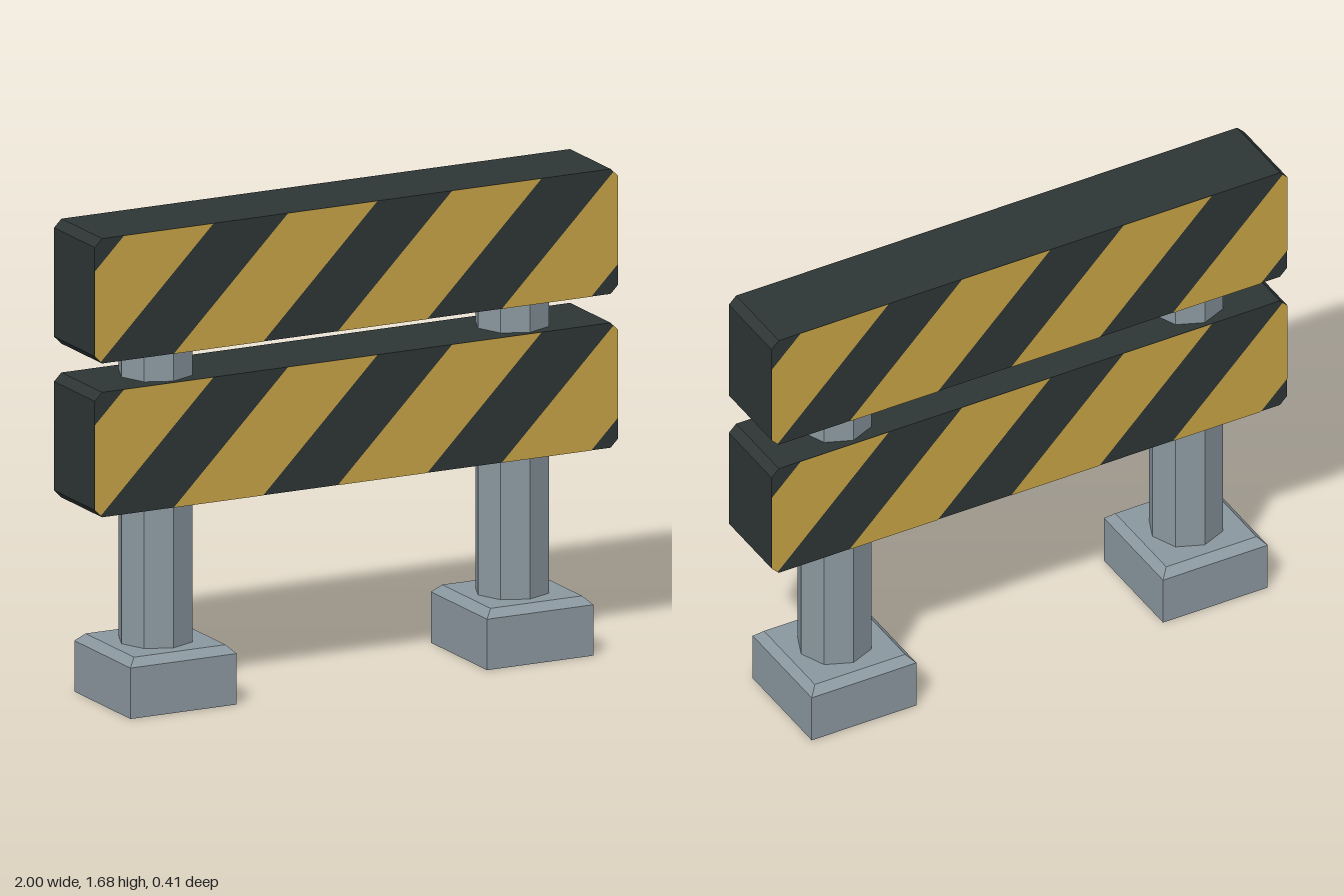
import * as THREE from 'three';

const W = 1, H = 0.437, D = 0.147, C = 0.028; // board half width, height, half depth, corner cut
const PERIOD = 0.627, FIRST = -0.889, STRIPE = 0.342;

// Board outline with cut corners, y from 0 to H
const outline = [
  [-W + C, 0], [W - C, 0], [W, C], [W, H - C],
  [W - C, H], [-W + C, H], [-W, H - C], [-W, C],
].map(([x, y]) => new THREE.Vector2(x, y));

// Keep the part of a polygon where side(p) >= 0
function clip(points, side) {
  const out = [];
  points.forEach((a, i) => {
    const b = points[(i + 1) % points.length];
    const da = side(a), db = side(b);
    if (da >= 0) out.push(a);
    if (da * db < 0) out.push(a.clone().lerp(b, da / (da - db)));
  });
  return out;
}

export function createModel() {
  const make = (name, color) => {
    const m = new THREE.MeshStandardMaterial({ color });
    m.name = name;
    return m;
  };
  const yellow = make('stripe yellow', 0xc8a446);
  const dark = make('board charcoal', 0x2e3635);
  const grey = make('post grey', 0x8b98a0);

  const model = new THREE.Group();
  model.name = 'roadBarrier';
  const add = (parent, name, geometry, material, x = 0, y = 0, z = 0) => {
    const mesh = new THREE.Mesh(geometry, material);
    mesh.name = name;
    mesh.position.set(x, y, z);
    parent.add(mesh);
    return mesh;
  };

  // Boards: dark core with diagonal stripes on both faces
  const core = new THREE.ExtrudeGeometry(new THREE.Shape(outline), { depth: 2 * D, bevelEnabled: false });
  core.translate(0, 0, -D);
  const stripes = [];
  for (let k = 0; k < 4; k++) {
    const start = FIRST + k * PERIOD;
    const along = (p) => p.x - p.y + H;
    let poly = clip(outline, (p) => along(p) - start);
    poly = clip(poly, (p) => start + STRIPE - along(p));
    stripes.push(new THREE.ShapeGeometry(new THREE.Shape(poly)));
  }
  for (const [name, y] of [['lowerBoard', 0.702], ['upperBoard', 1.24]]) {
    const board = new THREE.Group();
    board.name = name;
    board.position.y = y;
    model.add(board);
    add(board, 'boardCore', core, dark);
    for (const s of [1, -1]) {
      for (const stripe of stripes) {
        const mesh = add(board, s > 0 ? 'frontStripe' : 'backStripe', stripe, yellow, 0, 0, s * (D + 0.002));
        if (s < 0) mesh.rotation.y = Math.PI;
      }
    }
  }

  // Legs: octagonal post on a square foot with a sloped rim
  const R = 0.203, RIM = 0.028, FOOT = 0.178;
  const foot = new THREE.BoxGeometry(2 * R, FOOT, 2 * R);
  const rim = new THREE.CylinderGeometry((R - RIM) * Math.SQRT2, R * Math.SQRT2, RIM, 4, 1, false, Math.PI / 4).toNonIndexed();
  rim.computeVertexNormals();
  const post = new THREE.CylinderGeometry(0.13, 0.13, 1.2, 8).toNonIndexed();
  post.computeVertexNormals();
  for (const [name, x] of [['rightLeg', -0.69], ['leftLeg', 0.673]]) {
    const leg = new THREE.Group();
    leg.name = name;
    leg.position.x = x;
    model.add(leg);
    add(leg, 'foot', foot, grey, 0, FOOT / 2);
    add(leg, 'footRim', rim, grey, 0, FOOT + RIM / 2);
    add(leg, 'post', post, grey, 0, 0.8);
  }
  return model;
}
